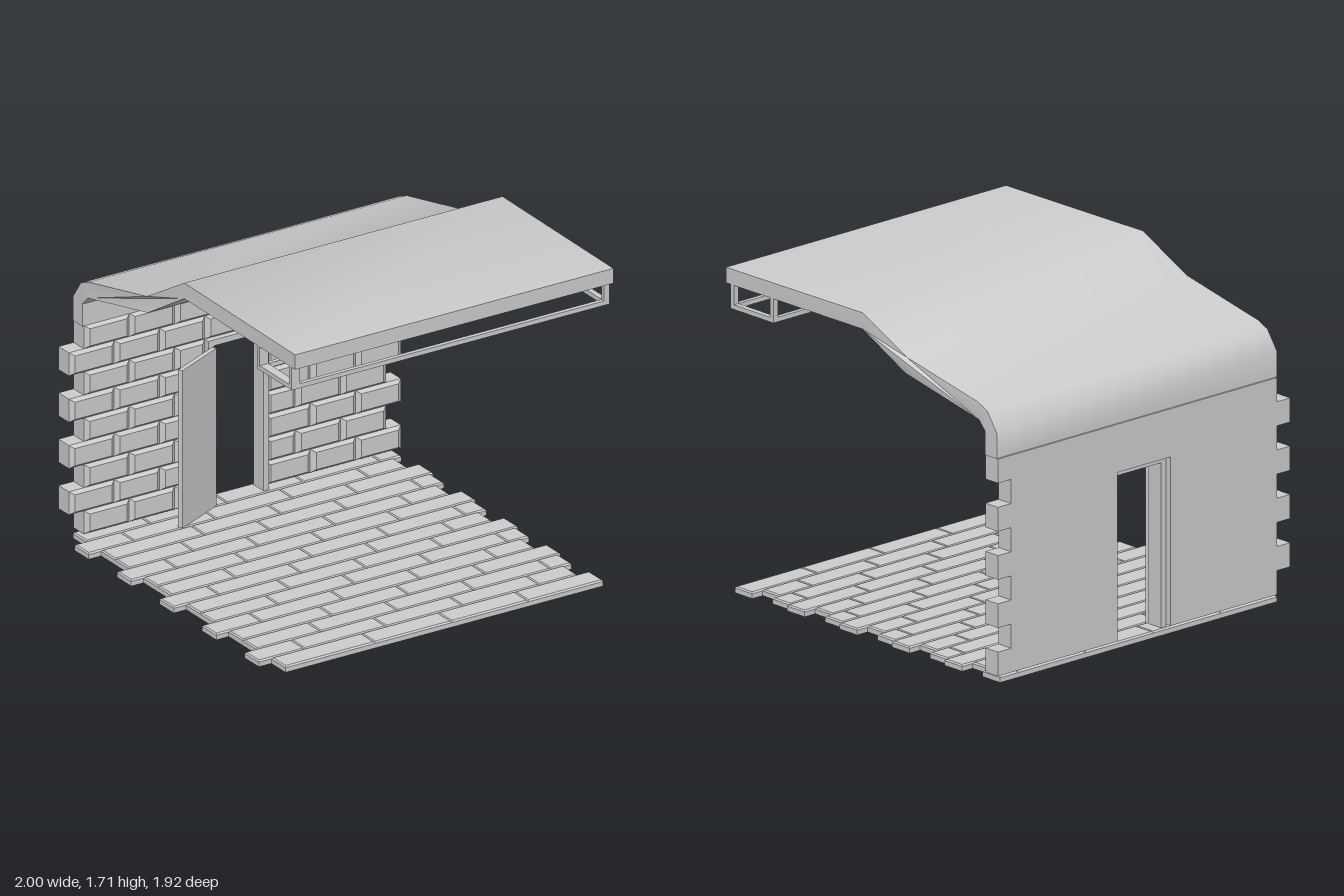
import * as THREE from 'three';
import { toCreasedNormals } from 'three/addons/utils/BufferGeometryUtils.js';

const grey = new THREE.MeshStandardMaterial({ color: 0xcccccc });

function add(parent, name, geometry) {
  const mesh = new THREE.Mesh(geometry, grey);
  mesh.name = name;
  parent.add(mesh);
  return mesh;
}

// Plain box given by its limits
function box(parent, name, x0, x1, y0, y1, z0, z1) {
  const g = new THREE.BoxGeometry(x1 - x0, y1 - y0, z1 - z0);
  g.translate((x0 + x1) / 2, (y0 + y1) / 2, (z0 + z1) / 2);
  return add(parent, name, g);
}

// Box centred on the origin whose +z face has chamfered edges
function chamferedBox(w, h, d, insetX, insetY, depth) {
  const g = new THREE.BoxGeometry(w, h, d, 1, 1, 2);
  const p = g.attributes.position;
  for (let i = 0; i < p.count; i++) {
    const z = p.getZ(i);
    if (Math.abs(z) < 1e-6) p.setZ(i, d / 2 - depth);
    else if (z > 0) {
      p.setX(i, p.getX(i) - Math.sign(p.getX(i)) * insetX);
      p.setY(i, p.getY(i) - Math.sign(p.getY(i)) * insetY);
    }
  }
  const flat = g.toNonIndexed();
  flat.computeVertexNormals();
  return flat;
}

// Doorway limits shared by wall, frame and door
const door = { x0: -0.2, x1: 0.155, top: 0.92 };

function buildWall() {
  const wall = new THREE.Group();
  wall.name = 'brickWall';
  const pitch = 0.125, width = 0.266, zBack = -0.96, zFront = -0.85;
  const brick = (x0, x1, y) => {
    const g = chamferedBox(x1 - x0, pitch, zFront - zBack, Math.min(0.024, (x1 - x0) / 4), 0.016, 0.018);
    g.translate((x0 + x1) / 2, y + pitch / 2, (zBack + zFront) / 2);
    add(wall, 'brick', g);
  };
  for (let row = 0; row < 9; row++) {
    const y = 0.045 + row * pitch;
    const start = row % 2 ? -0.998 : -0.91;
    for (let i = 0; i < 7; i++) {
      const x0 = start + i * width, x1 = x0 + width;
      if (row >= 7) { brick(x0, x1, y); continue; }
      // Bricks are cut at the doorway
      const leftEnd = Math.min(x1, door.x0), rightStart = Math.max(x0, door.x1);
      if (leftEnd - x0 > 0.015) brick(x0, leftEnd, y);
      if (x1 - rightStart > 0.015) brick(rightStart, x1, y);
    }
  }
  return wall;
}

function buildFloor() {
  const floor = new THREE.Group();
  floor.name = 'plankFloor';
  const pitch = 0.127, h = 0.033;
  // Three staggered plank courses, repeated towards the back
  const courses = [
    [-0.927, -0.4, 0.05, 0.5, 0.94],
    [-1, -0.73, -0.25, 0.2, 0.65, 0.87],
    [-0.927, -0.55, -0.1, 0.35, 0.8, 0.92],
  ];
  for (let i = 0; i < 15; i++) {
    const z = 0.964 - (i + 0.5) * pitch;
    const xs = courses[i % 3];
    for (let j = 0; j < xs.length - 1; j++) {
      const g = chamferedBox(xs[j + 1] - xs[j], pitch, h, 0.006, 0.008, 0.008);
      g.rotateX(-Math.PI / 2);
      g.translate((xs[j] + xs[j + 1]) / 2, h / 2, z);
      add(floor, 'plank', g);
    }
  }
  return floor;
}

function buildRoof() {
  // Side profile as [z, y]: along the top to the back, then back underneath
  const profile = [
    [0.964, 1.70], [-0.03, 1.71], [-0.31, 1.54], [-0.81, 1.43], [-0.88, 1.40], [-0.95, 1.30], [-0.95, 1.17],
    [-0.865, 1.17], [-0.865, 1.29], [-0.82, 1.34], [-0.30, 1.455], [-0.03, 1.625], [0.964, 1.62],
  ];
  const shape = new THREE.Shape(profile.map(([z, y]) => new THREE.Vector2(z, y)));
  const g = new THREE.ExtrudeGeometry(shape, { depth: 1.87, bevelEnabled: false });
  g.rotateY(-Math.PI / 2);
  g.translate(1, 0, 0);
  // The rear of the roof leans slightly sideways
  const p = g.attributes.position;
  for (let i = 0; i < p.count; i++) {
    const z = p.getZ(i);
    const shift = z > -0.1 ? 0 : z > -0.5 ? -0.037 : -0.05;
    p.setX(i, p.getX(i) + shift);
  }
  g.deleteAttribute('normal');
  return toCreasedNormals(g, 0.7);
}

// Open bar frame hanging below the front edge of the roof
function buildHangingFrame() {
  const frame = new THREE.Group();
  frame.name = 'hangingFrame';
  const x0 = -0.868, x1 = 0.998, y0 = 1.495, y1 = 1.63, bar = 0.024;
  for (const z of [0.62, 0.93 - bar]) {
    box(frame, 'rail', x0, x1, y0, y0 + bar, z, z + bar);
    box(frame, 'rightPost', x0, x0 + 0.05, y0 + bar, y1, z, z + bar);
    box(frame, 'leftPost', x1 - 0.03, x1, y0 + bar, y1, z, z + bar);
  }
  box(frame, 'rightCrossbar', x0, x0 + 0.05, y0, y0 + bar, 0.62 + bar, 0.93 - bar);
  box(frame, 'leftCrossbar', x1 - 0.03, x1, y0, y0 + bar, 0.62 + bar, 0.93 - bar);
  return frame;
}

function buildDoorway() {
  const group = new THREE.Group();
  group.name = 'doorway';
  const t = 0.032, z0 = -0.925, z1 = -0.835;
  box(group, 'rightJamb', door.x0, door.x0 + t, 0.033, door.top, z0, z1);
  box(group, 'leftJamb', door.x1 - t, door.x1, 0.033, door.top, z0, z1);
  box(group, 'lintel', door.x0 + t, door.x1 - t, door.top - t, door.top, z0, z1);
  // Door leaf, hinged at the right jamb and swung open
  const g = new THREE.BoxGeometry(0.315, 0.85, 0.025);
  g.translate(-0.1575, 0.458, 0);
  const leaf = add(group, 'doorLeaf', g);
  leaf.position.set(-0.172, 0, -0.825);
  leaf.rotation.y = Math.atan2(0.13, 0.28);
  return group;
}

export function createModel() {
  const model = new THREE.Group();
  model.name = 'shelter';
  model.add(buildFloor(), buildWall(), buildDoorway(), buildHangingFrame());
  add(model, 'roof', buildRoof());
  return model;
}
